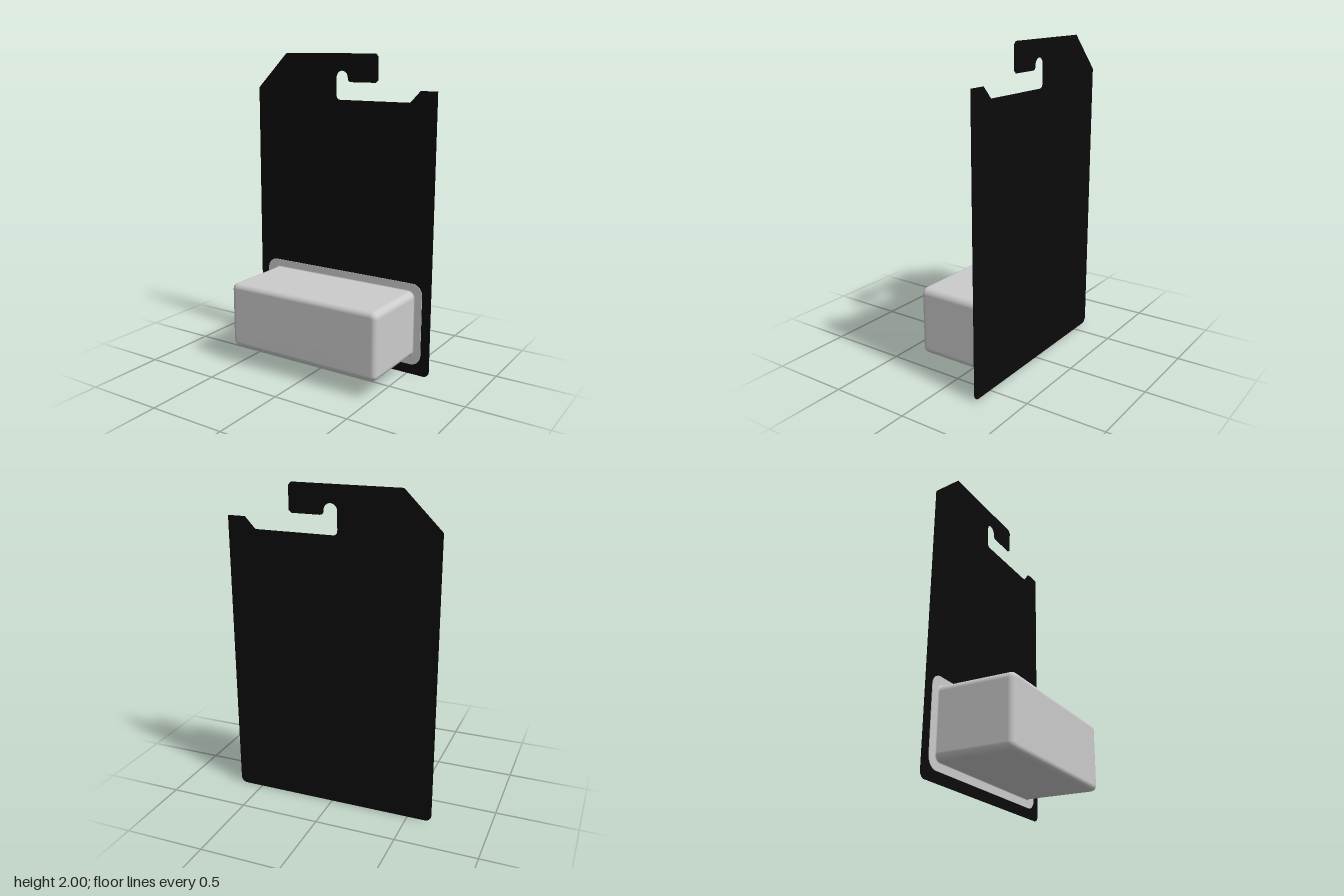
import * as THREE from 'three';

const CARD_BACK = -0.242, CARD_FRONT = -0.238;

// Counter-clockwise rounded rectangle: points for one cross-section
function roundedRect(hw, hh, r, steps = 8) {
  const pts = [];
  [[1, 1], [-1, 1], [-1, -1], [1, -1]].forEach(([sx, sy], q) => {
    for (let i = 0; i <= steps; i++) {
      const a = (q + i / steps) * Math.PI / 2;
      pts.push([sx * (hw - r) + r * Math.cos(a), sy * (hh - r) + r * Math.sin(a)]);
    }
  });
  return pts;
}

// Skin rings of [halfWidth, halfHeight, radius, z] from back to front
function loft(rings, capped) {
  const pos = [], index = [];
  let n = 0;
  for (const [hw, hh, r, z] of rings) {
    const pts = roundedRect(hw, hh, r);
    n = pts.length;
    pts.forEach(([x, y]) => pos.push(x, y, z));
  }
  for (let k = 0; k < rings.length - 1; k++) {
    for (let i = 0; i < n; i++) {
      const a = k * n + i, b = k * n + (i + 1) % n;
      index.push(a, b, b + n, a, b + n, a + n);
    }
  }
  if (capped) {
    const last = (rings.length - 1) * n;
    pos.push(0, 0, rings[rings.length - 1][3]);
    for (let i = 0; i < n; i++) index.push(last + i, last + (i + 1) % n, rings.length * n);
  }
  const geo = new THREE.BufferGeometry();
  geo.setAttribute('position', new THREE.Float32BufferAttribute(pos, 3));
  geo.setIndex(index);
  geo.computeVertexNormals();
  return geo;
}

// Backing card with clipped corner and open hanging hook
function cardShape() {
  const s = new THREE.Shape();
  s.moveTo(-0.61, 0);
  s.lineTo(0.61, 0);
  s.absarc(0.612, 0.04, 0.04, -Math.PI / 2, 0);
  s.lineTo(0.652, 1.785);
  s.lineTo(0.542, 1.785);
  s.lineTo(0.475, 1.714);
  s.lineTo(-0.013, 1.714);
  s.quadraticCurveTo(-0.043, 1.714, -0.043, 1.744);
  s.lineTo(-0.043, 1.852);
  s.absarc(-0.001, 1.852, 0.042, Math.PI, 0, true);
  s.quadraticCurveTo(0.041, 1.825, 0.066, 1.825);
  s.lineTo(0.237, 1.825);
  s.lineTo(0.255, 1.841);
  s.lineTo(0.255, 1.982);
  s.lineTo(0.237, 2);
  s.lineTo(-0.426, 2);
  s.lineTo(-0.652, 1.775);
  s.lineTo(-0.652, 0.04);
  s.absarc(-0.612, 0.04, 0.04, Math.PI, Math.PI * 1.5);
  return s;
}

export function createModel() {
  const group = new THREE.Group();
  const black = new THREE.MeshStandardMaterial({ color: 0x0b0b0b });
  const grey = new THREE.MeshStandardMaterial({ color: 0xcccccc, side: THREE.DoubleSide });

  const cardGeo = new THREE.ExtrudeGeometry(cardShape(), {
    depth: CARD_FRONT - CARD_BACK, bevelEnabled: false, curveSegments: 10,
  });
  const card = new THREE.Mesh(cardGeo, black);
  card.name = 'backingCard';
  card.position.z = CARD_BACK;
  group.add(card);

  const blister = new THREE.Group();
  blister.name = 'blister';
  blister.position.y = 0.333;
  group.add(blister);

  // Thin outer edge of the flange
  const flangeZ = -0.234;
  const flange = [0.592, 0.268, 0.07];
  const edge = new THREE.Mesh(loft([[...flange, CARD_FRONT], [...flange, flangeZ]], false), grey);
  edge.name = 'flangeEdge';

  // Flange face, base fillet, walls, rounded front rim and front face
  const hw = 0.537, hh = 0.215, r = 0.042, front = 0.242, fillet = 0.008, round = 0.035;
  const rings = [[...flange, flangeZ]];
  for (let i = 0; i <= 4; i++) {
    const a = i / 4 * Math.PI / 2, d = fillet * (1 - Math.sin(a));
    rings.push([hw + d, hh + d, r + d, flangeZ + fillet * (1 - Math.cos(a))]);
  }
  for (let i = 0; i <= 8; i++) {
    const a = i / 8 * Math.PI / 2, d = round * (1 - Math.cos(a));
    rings.push([hw - d, hh - d, r - d, front - round + round * Math.sin(a)]);
  }
  const pocket = new THREE.Mesh(loft(rings, true), grey);
  pocket.name = 'blisterPocket';
  blister.add(edge, pocket);

  return group;
}
